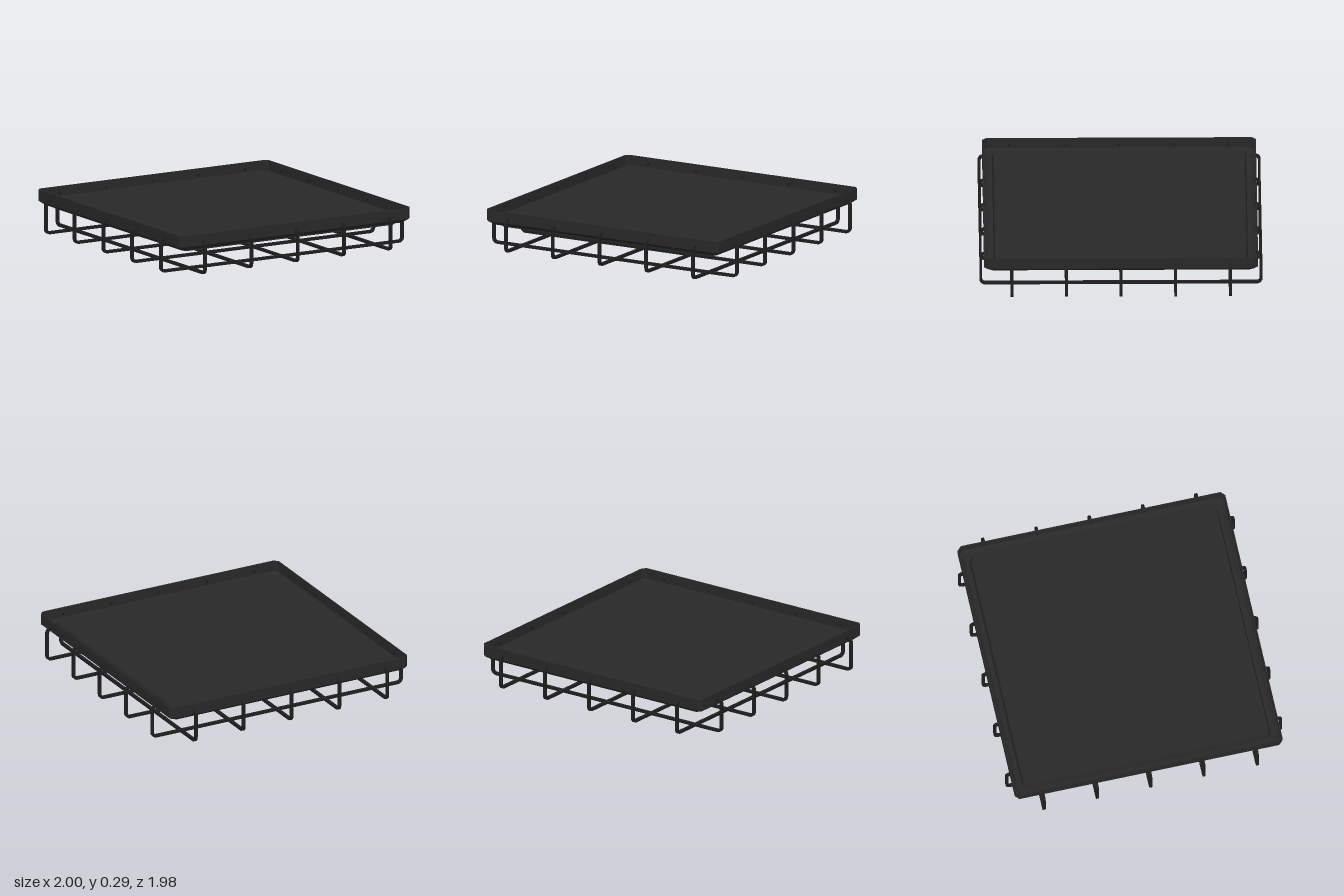
import * as THREE from 'three';

const trayMat = new THREE.MeshStandardMaterial({ name: 'charcoal', color: 0x282828 });
const wireMat = new THREE.MeshStandardMaterial({ name: 'blackWire', color: 0x1e1e1e });

const HALF_X = 0.947, HALF_Z = 0.956, CHAMFER = 0.028;
const WIRE = 0.02, BEND = 0.04, WIRE_TOP = 0.248;

// Rectangle with cut corners at height y
function ring(inset, y) {
  const x = HALF_X - inset, z = HALF_Z - inset, c = CHAMFER;
  return [[x, -z + c], [x, z - c], [x - c, z], [-x + c, z], [-x, z - c], [-x, -z + c], [-x + c, -z], [x - c, -z]]
    .map(([px, pz]) => [px, y, pz]);
}

// Skin a run of [inset, y] rings, closing both ends with flat caps
function trayGeometry(profile) {
  const rings = profile.map(([inset, y]) => ring(inset, y));
  const pos = [];
  const tri = (a, b, c) => pos.push(...a, ...b, ...c);
  const n = 8;
  const underside = [0, profile[0][1], 0];
  const floor = [0, profile[profile.length - 1][1], 0];
  const last = rings[rings.length - 1];
  for (let j = 0; j < n; j++) {
    const k = (j + 1) % n;
    tri(underside, rings[0][j], rings[0][k]);
    for (let i = 0; i < rings.length - 1; i++) {
      const lo = rings[i], hi = rings[i + 1];
      tri(lo[j], hi[j], lo[k]);
      tri(hi[j], hi[k], lo[k]);
    }
    tri(floor, last[k], last[j]);
  }
  const geo = new THREE.BufferGeometry();
  geo.setAttribute('position', new THREE.Float32BufferAttribute(pos, 3));
  geo.computeVertexNormals();
  return geo;
}

// One edge of the bent wire, inset by d: from the left rod end round to the right
function wireEdge(reach, end, d) {
  const r = BEND - d, cx = reach - BEND;
  const half = [];
  for (const [cy, start] of [[BEND, -Math.PI / 2], [WIRE_TOP - BEND, 0]]) {
    for (let i = 0; i <= 5; i++) {
      const a = start + (i / 5) * Math.PI / 2;
      half.push(new THREE.Vector2(cx + r * Math.cos(a), cy + r * Math.sin(a)));
    }
  }
  half.push(new THREE.Vector2(end, WIRE_TOP - d));
  const left = half.map((p) => new THREE.Vector2(-p.x, p.y)).reverse();
  return [...left, ...half];
}

// Five parallel square-section wires whose ends poke through the tray wall
function wireSet(name, reach, wallHalf) {
  const set = new THREE.Group();
  set.name = name;
  const end = wallHalf - 0.014;
  const outline = [...wireEdge(reach, end, 0), ...wireEdge(reach, end, WIRE).reverse()];
  const geo = new THREE.ExtrudeGeometry(new THREE.Shape(outline), { depth: WIRE, bevelEnabled: false });
  geo.translate(0, 0, -WIRE / 2);
  for (let i = -2; i <= 2; i++) {
    const wire = new THREE.Mesh(geo, wireMat);
    wire.name = 'wire';
    wire.position.z = i * 0.381;
    set.add(wire);
  }
  return set;
}

export function createModel() {
  const model = new THREE.Group();
  model.name = 'wireBasedTray';

  // Tray shell: hollow underside, skirt, bevel, rim, inner wall, channel and raised floor
  const tray = new THREE.Mesh(trayGeometry([
    [0.086, 0.227], [0.086, 0.16], [0.077, 0.16], [0.077, 0.179], [0.035, 0.179], [0, 0.206], [0, 0.286],
    [0.008, 0.286], [0.008, 0.211], [0.037, 0.187], [0.069, 0.187], [0.079, 0.235],
  ]), trayMat);
  tray.name = 'tray';
  model.add(tray);

  // Crossing wire sets below the tray
  model.add(wireSet('crossWires', 1, HALF_X));
  const lengthWires = wireSet('lengthWires', 0.988, HALF_Z);
  lengthWires.rotation.y = Math.PI / 2;
  model.add(lengthWires);
  return model;
}
